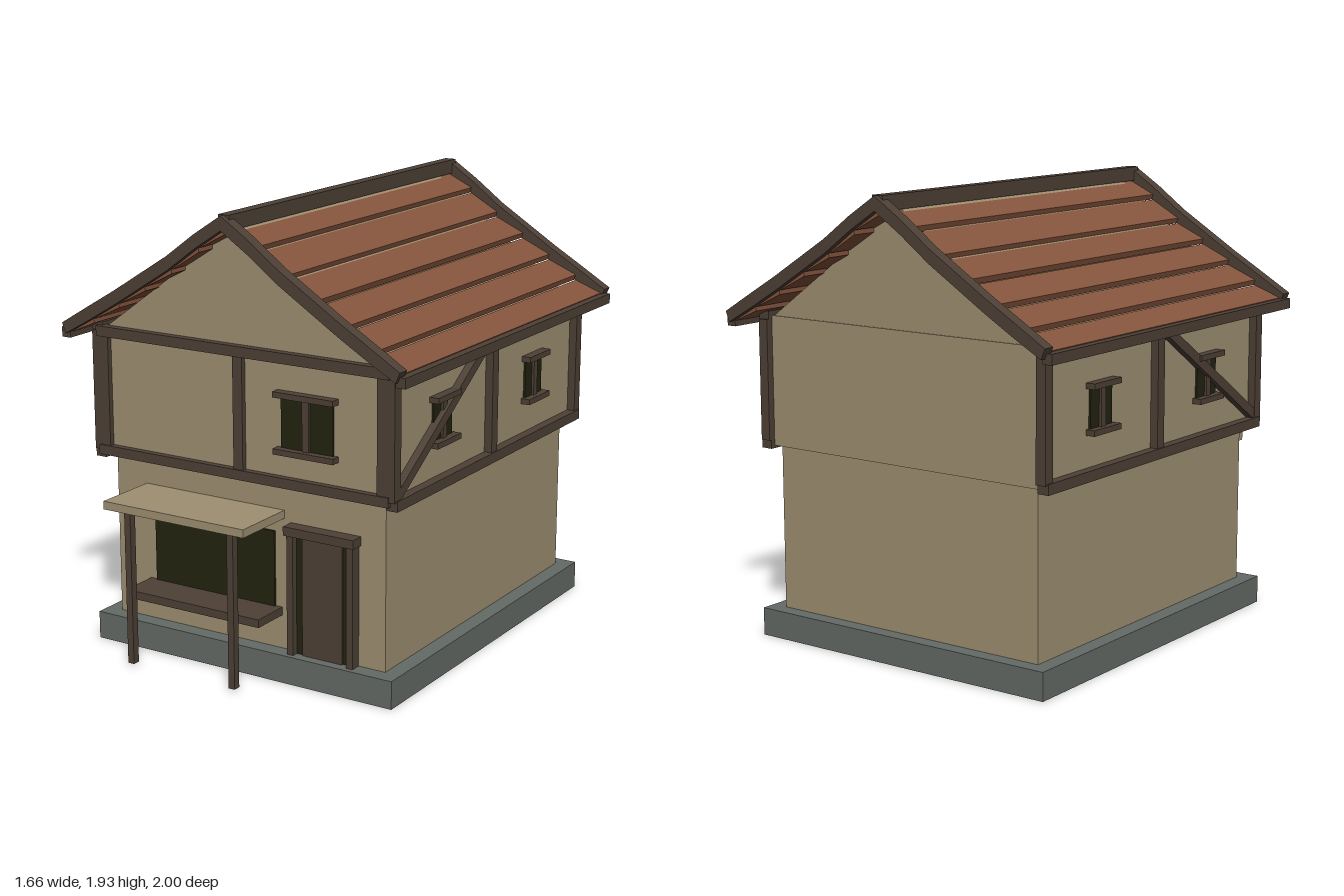
import * as THREE from 'three';

const paint = (name, hex) => {
  const m = new THREE.MeshStandardMaterial({ color: hex });
  m.name = name;
  return m;
};

export function createModel() {
  const house = new THREE.Group();
  house.name = 'timberShop';
  const plaster = paint('plaster', 0x9e8f71);
  const wood = paint('dark wood', 0x4d4036);
  const tile = paint('roof tile', 0x86553d);
  const stone = paint('stone', 0x646a66);
  const glass = paint('dark glass', 0x232310);

  // box given by its extents along each axis
  const box = (name, mat, [x0, x1], [y0, y1], [z0, z1], parent = house) => {
    const mesh = new THREE.Mesh(new THREE.BoxGeometry(x1 - x0, y1 - y0, z1 - z0), mat);
    mesh.position.set((x0 + x1) / 2, (y0 + y1) / 2, (z0 + z1) / 2);
    mesh.name = name;
    parent.add(mesh);
    return mesh;
  };
  // x-y outline extruded from z0 to z1
  const prism = (name, mat, points, z0, z1) => {
    const shape = new THREE.Shape(points.map(([x, y]) => new THREE.Vector2(x, y)));
    const geo = new THREE.ExtrudeGeometry(shape, { depth: z1 - z0, bevelEnabled: false });
    const mesh = new THREE.Mesh(geo, mat);
    mesh.position.z = z0;
    mesh.name = name;
    house.add(mesh);
  };
  const sideRange = (s, a, b) => (s > 0 ? [a, b] : [-b, -a]);

  // walls
  box('foundation', stone, [-0.735, 0.735], [0, 0.12], [-0.9, 0.775]);
  box('lowerWalls', plaster, [-0.665, 0.665], [0.12, 0.83], [-0.835, 0.705]);
  box('upperWalls', plaster, [-0.7, 0.7], [0.83, 1.385], [-0.855, 0.74]);
  prism('gable', plaster, [[-0.68, 1.385], [0.68, 1.385], [0, 1.88]], -0.85, 0.735);

  // front timber frame
  box('frontLowerBeam', wood, [-0.71, 0.71], [0.835, 0.877], [0.72, 0.77]);
  box('frontUpperBeam', wood, [-0.71, 0.71], [1.348, 1.392], [0.72, 0.77]);
  for (const x of [-0.678, 0, 0.678])
    box('frontPost', wood, [x - 0.023, x + 0.023], [0.87, 1.35], [0.715, 0.763]);

  // side timber frames
  for (const s of [-1, 1]) {
    box('sideLowerBeam', wood, sideRange(s, 0.69, 0.742), [0.818, 0.862], [-0.875, 0.75]);
    box('sideUpperBeam', wood, sideRange(s, 0.69, 0.742), [1.362, 1.405], [-0.875, 0.75]);
    for (const z of [-0.861, -0.065, 0.738])
      box('sidePost', wood, sideRange(s, 0.69, 0.735), [0.855, 1.37], [z - 0.025, z + 0.025]);
    const dz = 0.79, dy = 0.51;
    const brace = new THREE.Mesh(new THREE.BoxGeometry(0.035, 0.042, Math.hypot(dz, dy)), wood);
    brace.position.set(s * 0.716, 1.11, 0.355);
    brace.rotation.x = Math.atan2(dy, dz);
    brace.name = 'sideBrace';
    house.add(brace);
  }

  // upstairs window facing +z around its own origin
  const upperWindow = (w, h, x, y, z, turn) => {
    const g = new THREE.Group();
    g.name = 'upperWindow';
    box('pane', glass, [-w / 2, w / 2], [-h / 2, h / 2], [-0.01, 0.009], g);
    box('mullion', wood, [-0.016, 0.016], [-h / 2, h / 2], [-0.01, 0.02], g);
    for (const s of [-1, 1])
      box('windowRail', wood, [-w / 2 - 0.02, w / 2 + 0.02],
        [s * h / 2 - 0.012, s * h / 2 + 0.012], [-0.01, 0.042], g);
    g.position.set(x, y, z);
    g.rotation.y = turn;
    house.add(g);
  };
  upperWindow(0.245, 0.235, 0.323, 1.104, 0.74, 0);
  for (const s of [-1, 1])
    for (const z of [0.337, -0.467]) upperWindow(0.152, 0.187, s * 0.7, 1.1, z, s * Math.PI / 2);

  // shop window, counter and awning
  box('shopWindow', glass, [-0.465, 0.14], [0.28, 0.625], [0.7, 0.714]);
  box('counter', wood, [-0.5, 0.172], [0.265, 0.3], [0.7, 0.88]);
  box('awning', plaster, [-0.512, 0.185], [0.685, 0.72], [0.7, 1]);
  for (const x of [-0.42, 0.093])
    box('awningPost', wood, [x - 0.015, x + 0.015], [0.012, 0.685], [0.93, 0.963]);

  // door
  box('doorRecess', glass, [0.25, 0.52], [0.12, 0.64], [0.7, 0.725]);
  box('door', wood, [0.287, 0.477], [0.12, 0.64], [0.7, 0.733]);
  for (const x of [0.24, 0.525])
    box('doorJamb', wood, [x - 0.015, x + 0.015], [0.12, 0.64], [0.7, 0.753]);
  box('doorLintel', wood, [0.217, 0.55], [0.635, 0.673], [0.7, 0.766]);

  // roof: lapped tile courses following a gently sagging slope
  const slope = [[0, 1.885], [0.13, 1.8], [0.265, 1.7], [0.4, 1.615], [0.535, 1.53], [0.67, 1.45], [0.795, 1.38]];
  for (const s of [-1, 1]) {
    for (let i = 0; i < slope.length - 1; i++) {
      const [x0, y0] = slope[i], [x1, y1] = slope[i + 1];
      prism('tileCourse', tile, [
        [s * x0, y0 - 0.012], [s * x1, y1 + 0.012],
        [s * (x1 - 0.008), y1 - 0.012], [s * x0, y0 - 0.032],
      ], -0.97, 0.83);
    }
    box('eaveBeam', wood, sideRange(s, 0.785, 0.828), [1.345, 1.388], [-0.975, 0.845]);
  }
  box('ridgeBeam', wood, [-0.026, 0.026], [1.87, 1.932], [-0.98, 0.84]);

  // bargeboards along both gable ends
  const half = slope.map(([x, y], i) => [x + (i === 6 ? 0.018 : 0), y + (i === 6 ? 0.03 : 0.046)]);
  const under = slope.map(([x, y]) => [x, y - 0.014]).reverse();
  for (const s of [-1, 1])
    for (const [z0, z1] of [[-1, -0.947], [0.808, 0.862]])
      prism('bargeboard', wood, [...half, ...under].map(([x, y]) => [s * x, y]), z0, z1);

  return house;
}
